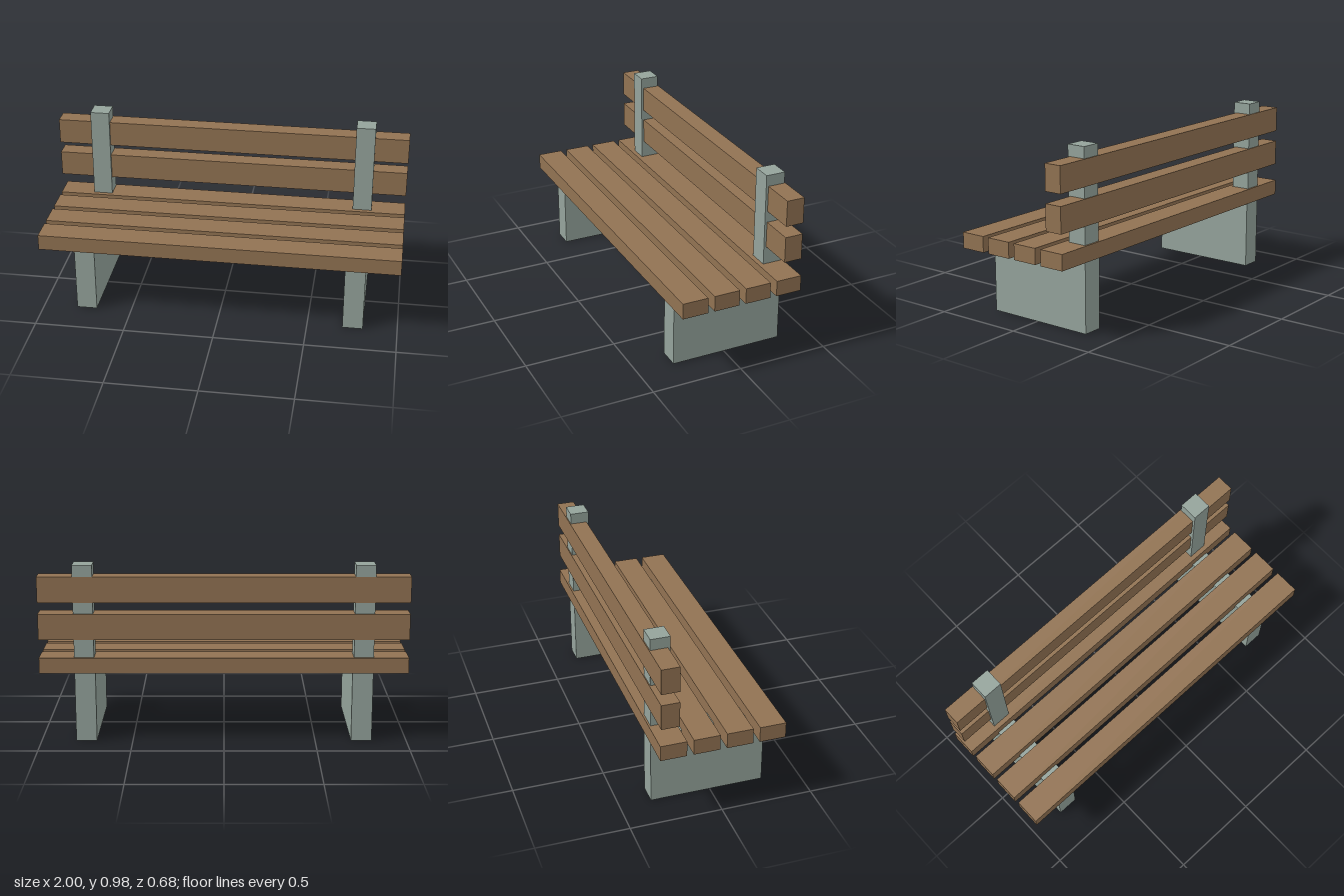
import * as THREE from 'three';

export function createModel() {
  const bench = new THREE.Group();
  bench.name = 'bench';

  const wood = new THREE.MeshStandardMaterial({ color: 0x917252 });
  wood.name = 'brown wood';
  const concrete = new THREE.MeshStandardMaterial({ color: 0x94a39b });
  concrete.name = 'grey green concrete';

  // Box given by its lower and upper limits on each axis
  function addBox(name, material, [x0, x1], [y0, y1], [z0, z1]) {
    const geometry = new THREE.BoxGeometry(x1 - x0, y1 - y0, z1 - z0);
    const mesh = new THREE.Mesh(geometry, material);
    mesh.position.set((x0 + x1) / 2, (y0 + y1) / 2, (z0 + z1) / 2);
    mesh.name = name;
    bench.add(mesh);
  }

  // Slab legs and back posts, flush on their outer faces
  for (const [side, s] of [['left', 1], ['right', -1]]) {
    const span = (inner) => (s > 0 ? [inner, 0.81] : [-0.81, -inner]);
    addBox(side + 'Leg', concrete, span(0.697), [0, 0.41], [-0.328, 0.295]);
    addBox(side + 'BackPost', concrete, span(0.703), [0.41, 0.98], [-0.328, -0.222]);
  }

  // Four seat slats, front to back
  for (let i = 0; i < 4; i++) {
    const z = 0.267 - i * 0.178;
    addBox('seatSlat' + (i + 1), wood, [-1, 1], [0.385, 0.472], [z - 0.071, z + 0.071]);
  }

  // Two backrest slats let into the posts
  [0.572, 0.776].forEach((y, i) => {
    addBox('backSlat' + (i + 1), wood, [-1, 1], [y, y + 0.142], [-0.333, -0.235]);
  });

  return bench;
}
